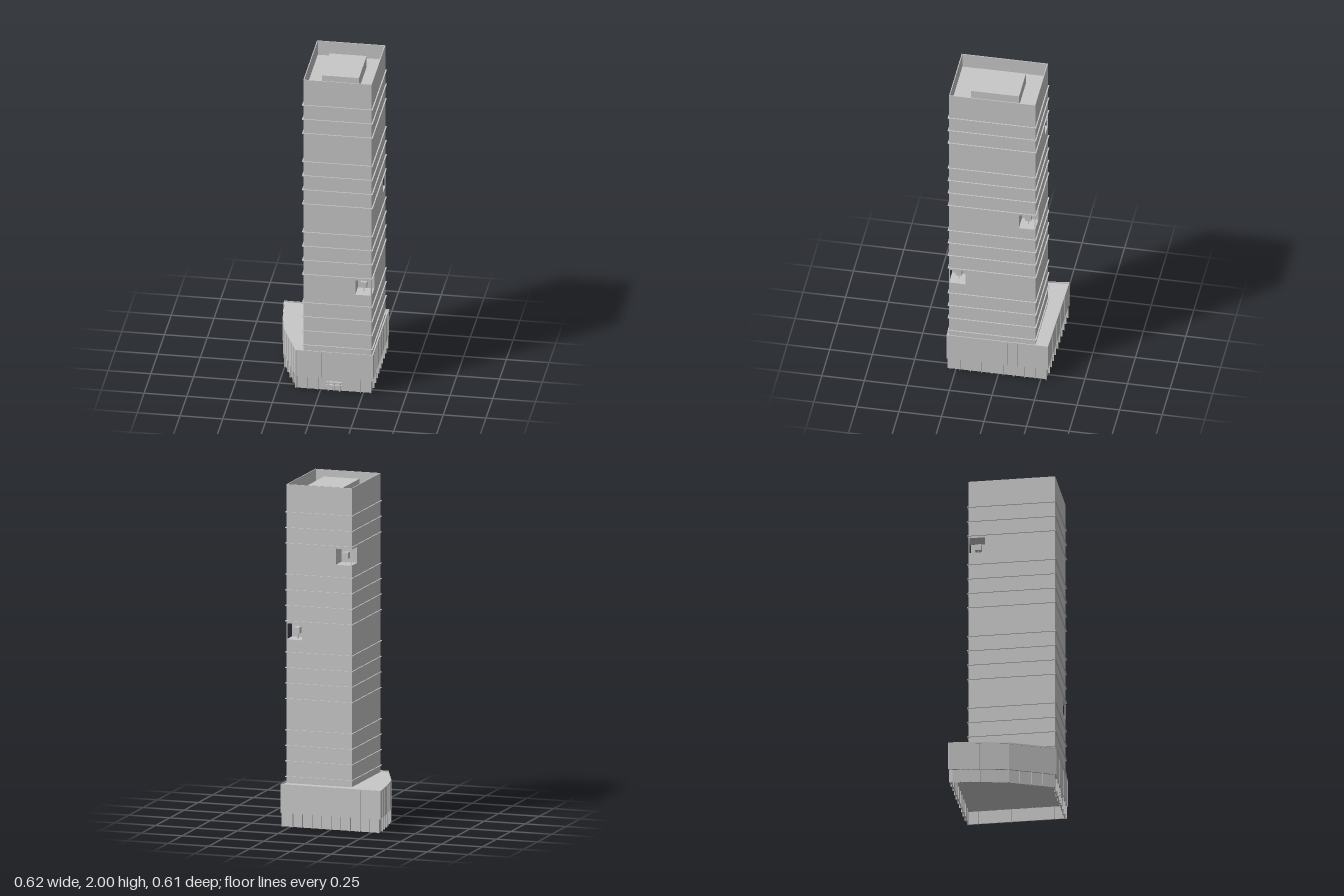
import * as THREE from 'three';

const concrete = new THREE.MeshStandardMaterial({ color: 0xc8c8c8 });
concrete.name = 'concrete grey';

const add = (parent, name, geometry) => {
  const mesh = new THREE.Mesh(geometry, concrete);
  mesh.name = name;
  parent.add(mesh);
  return mesh;
};

// Vertical prism over an outline of [x, z] points, with an optional hole
// given in the same direction (reversed here so its walls face inward)
function prism(outline, y0, y1, hole) {
  const toVec = ([x, z]) => new THREE.Vector2(x, -z);
  const shape = new THREE.Shape(outline.map(toVec));
  if (hole) shape.holes.push(new THREE.Path(hole.map(toVec).reverse()));
  return new THREE.ExtrudeGeometry(shape, { depth: y1 - y0, bevelEnabled: false })
    .rotateX(-Math.PI / 2).translate(0, y0, 0);
}

const box = (w, h, d, x, y, z) => new THREE.BoxGeometry(w, h, d).translate(x, y, z);
const scaled = (pts, k) => pts.map(([x, z]) => [x * k, z * k]);

// Tower footprint
const X0 = -0.102, X1 = 0.298, Z0 = -0.217, Z1 = 0.29;
const rect = (grow) => [[X0 - grow, Z0 - grow], [X1 + grow, Z0 - grow], [X1 + grow, Z1 + grow], [X0 - grow, Z1 + grow]];

// Footprint with one corner cut away; sx, sz choose the corner
function notched(sx, sz, size) {
  const cx = sx > 0 ? X1 : X0, cz = sz > 0 ? Z1 : Z0;
  const ox = sx > 0 ? X0 : X1, oz = sz > 0 ? Z0 : Z1;
  const ix = cx - sx * size, iz = cz - sz * size;
  return [[ox, oz], [cx, oz], [cx, iz], [ix, iz], [ix, cz], [ox, cz]];
}

// Podium footprint, with the bent side on -x
const podium = [[-0.307, -0.302], [0.305, -0.291], [0.305, 0.3], [-0.144, 0.3], [-0.253, 0.04], [-0.285, -0.125]];

// Thin upright fins along the edges of an outline
function fins(parent, name, outline, edges, y0, y1, step, depth) {
  for (const e of edges) {
    const [ax, az] = outline[e], [bx, bz] = outline[(e + 1) % outline.length];
    const n = Math.round(Math.hypot(bx - ax, bz - az) / step);
    for (let i = 0; i < n; i++) {
      const t = i / n;
      const fin = add(parent, name, new THREE.BoxGeometry(0.004, y1 - y0, depth));
      fin.position.set(ax + (bx - ax) * t, (y0 + y1) / 2, az + (bz - az) * t);
      fin.rotation.y = -Math.atan2(bz - az, bx - ax);
    }
  }
}

function buildPodium() {
  const g = new THREE.Group();
  g.name = 'podium';
  const lower = scaled(podium, 0.965);
  add(g, 'groundFloorWall', prism(lower, 0, 0.08, scaled(podium, 0.95)));
  add(g, 'podiumBlock', prism(podium, 0.08, 0.243));
  add(g, 'podiumRim', prism(scaled(podium, 1.01), 0.242, 0.25, scaled(podium, 0.994)));
  fins(g, 'groundFloorFin', lower, [0, 1, 2, 3, 4, 5], 0, 0.08, 0.062, 0.02);
  fins(g, 'facadeFin', podium, [1, 3, 4, 5], 0.08, 0.242, 0.062, 0.006);
  fins(g, 'facadeFin', podium, [0, 2], 0.08, 0.242, 0.13, 0.006);

  // Entrance: jambs with thin canopies
  for (const x of [0.045, 0.08, 0.115]) add(g, 'entrancePost', box(0.006, 0.055, 0.018, x, 0.0275, 0.293));
  for (const y of [0.035, 0.054]) add(g, 'entranceCanopy', box(0.09, 0.005, 0.02, 0.08, y, 0.293));
  return g;
}

function buildTower() {
  const g = new THREE.Group();
  g.name = 'tower';
  const roofY = 1.91, notchSize = 0.096, notchHeight = 0.094, post = 0.006;
  // Corner terraces, from the lowest up
  const terraces = [
    { y: 0.63, sx: 1, sz: 1 },
    { y: 1.088, sx: 1, sz: -1 },
    { y: 1.546, sx: -1, sz: -1 },
  ];
  let y = 0.24;
  for (const t of terraces) {
    add(g, 'towerShaft', prism(rect(0), y, t.y));
    y = t.y + notchHeight;
    add(g, 'terraceLevel', prism(notched(t.sx, t.sz, notchSize), t.y, y));
    const cx = t.sx > 0 ? X1 : X0, cz = t.sz > 0 ? Z1 : Z0;
    // Slim post at the open corner
    add(g, 'cornerPost', box(post, notchHeight, post, cx - t.sx * post / 2, t.y + notchHeight / 2, cz - t.sz * post / 2));
    // Small tree in the terrace
    const tx = cx - t.sx * 0.052, tz = cz - t.sz * 0.05;
    add(g, 'treeTrunk', box(0.005, 0.034, 0.005, tx, t.y + 0.017, tz));
    add(g, 'treeCrown', box(0.036, 0.036, 0.036, tx, t.y + 0.05, tz));
  }
  add(g, 'towerShaft', prism(rect(0), y, roofY));

  // Parapet and roof plant room
  add(g, 'parapet', prism(rect(0), roofY, 2, rect(-0.005)));
  add(g, 'plantRoom', box(0.217, 0.07, 0.283, 0.0975, 1.945, 0.037));

  // Thin projecting ledges, left out at the terrace floors
  for (let k = 0; k < 18; k++) {
    if (k % 5 === 3) continue;
    const ly = 1.837 - k * 0.0915;
    add(g, 'ledge', prism(rect(0.007), ly - 0.002, ly + 0.002));
  }
  return g;
}

export function createModel() {
  const model = new THREE.Group();
  model.name = 'officeTower';
  model.add(buildPodium(), buildTower());
  return model;
}
